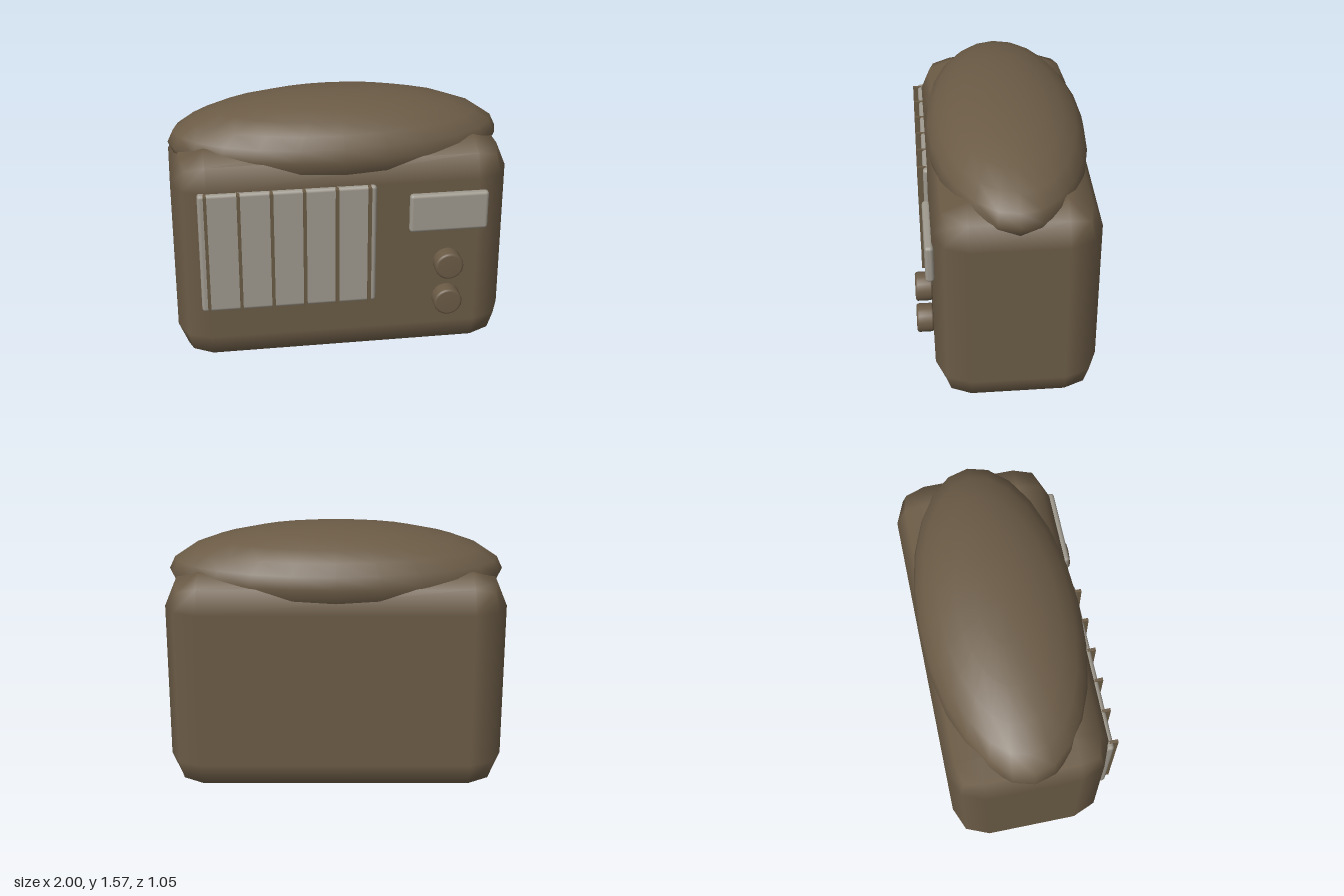
import * as THREE from 'three';
import { RoundedBoxGeometry } from 'three/addons/geometries/RoundedBoxGeometry.js';

export function createModel() {
  const model = new THREE.Group();
  const brown = new THREE.MeshStandardMaterial({ color: 0x6b5b46 });
  brown.name = 'brown casing';
  const grey = new THREE.MeshStandardMaterial({ color: 0x9e998e });
  grey.name = 'warm grey panel';

  const add = (name, geometry, material, x, y, z) => {
    const mesh = new THREE.Mesh(geometry, material);
    mesh.name = name;
    mesh.position.set(x, y, z);
    model.add(mesh);
    return mesh;
  };

  // Chunky casing with two-step rounded edges
  add('body', new RoundedBoxGeometry(2, 1.34, 0.95, 1, 0.2), brown, 0, 0.67, -0.05);

  // Domed cushion sunk into the top
  const dome = add('topDome', new THREE.SphereGeometry(1, 24, 12), brown, 0, 1.29, -0.05);
  dome.scale.set(1, 0.28, 0.475);

  // Speaker panel and its vertical bars
  add('speakerPanel', new RoundedBoxGeometry(1.04, 0.755, 0.06, 2, 0.02), grey, -0.335, 0.767, 0.418);
  for (let i = 0; i < 6; i++) {
    add('speakerBar', new THREE.BoxGeometry(0.018, 0.755, 0.06), brown, -0.812 + i * 0.1905, 0.767, 0.448);
  }

  // Tuning display
  add('display', new RoundedBoxGeometry(0.47, 0.24, 0.05, 2, 0.02), grey, 0.615, 0.955, 0.441);

  // Knobs with softened front rims
  const profile = [[0, -0.05], [0.08, -0.05], [0.085, -0.04], [0.085, 0.035], [0.08, 0.044], [0.07, 0.048], [0, 0.048]]
    .map(([r, y]) => new THREE.Vector2(r, y));
  const knob = new THREE.LatheGeometry(profile, 24).rotateX(Math.PI / 2);
  for (const y of [0.625, 0.385]) add('knob', knob, brown, 0.615, y, 0.477);

  return model;
}
